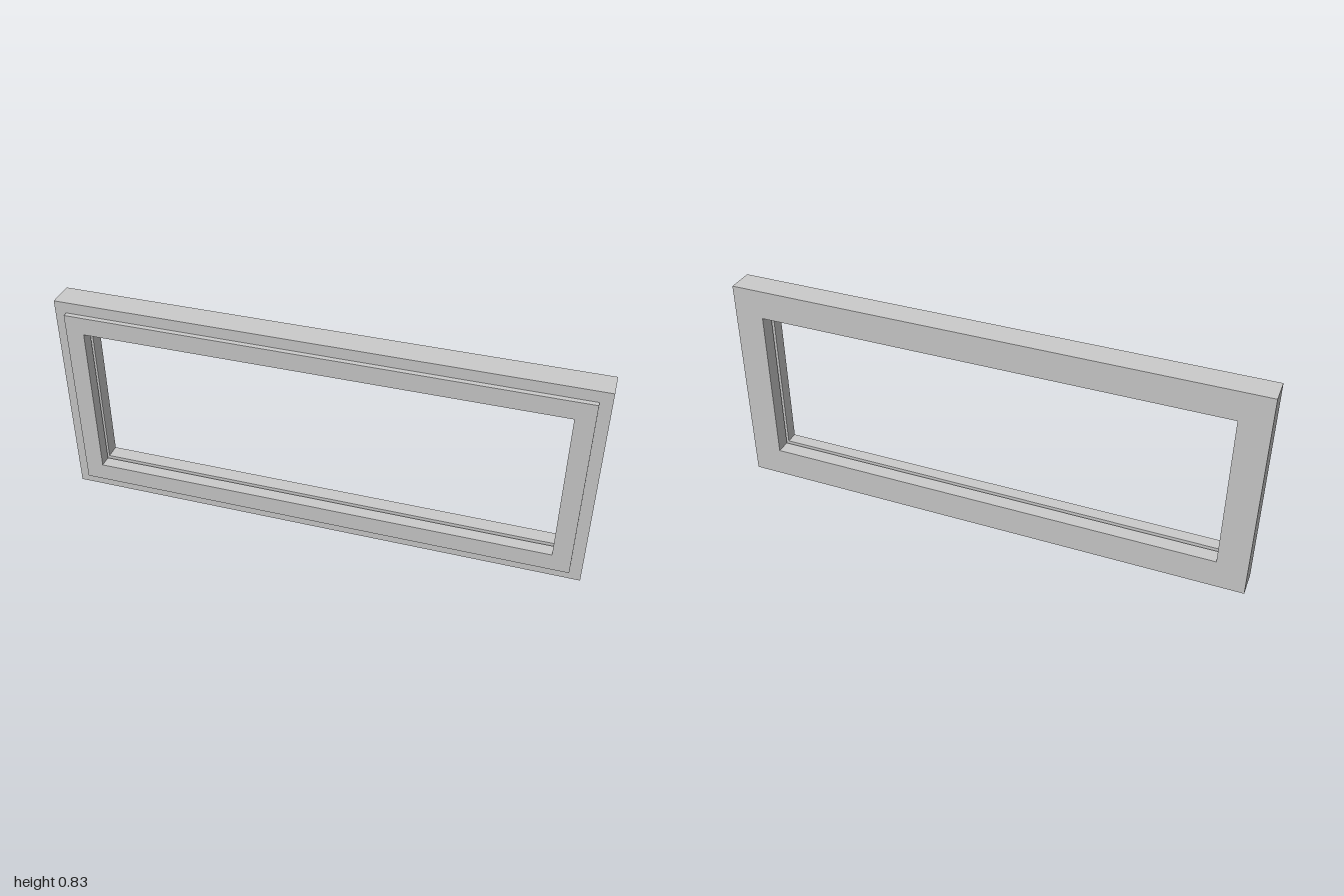
import * as THREE from 'three';

const HALF_WIDTH = 1, HEIGHT = 0.832;

// Sweeps a closed [inset, z] profile round the rectangle with mitred corners.
function sweepRectangle(profile) {
  const corners = [[1, 0], [1, 1], [-1, 1], [-1, 0]];
  const point = (k, j) => {
    const [sx, top] = corners[k % 4];
    const [inset, z] = profile[j % profile.length];
    return [sx * (HALF_WIDTH - inset), top ? HEIGHT - inset : inset, z];
  };
  const positions = [];
  for (let k = 0; k < 4; k++) {
    for (let j = 0; j < profile.length; j++) {
      const a = point(k, j), b = point(k + 1, j), c = point(k + 1, j + 1), d = point(k, j + 1);
      positions.push(...a, ...b, ...c, ...a, ...c, ...d);
    }
  }
  const geometry = new THREE.BufferGeometry();
  geometry.setAttribute('position', new THREE.Float32BufferAttribute(positions, 3));
  geometry.computeVertexNormals();
  return geometry;
}

export function createModel() {
  const group = new THREE.Group();
  group.name = 'windowFrame';

  const profile = [
    [0, -0.06], [0, 0.041],               // outer edge
    [0.043, 0.041], [0.043, 0.06],        // step up to the raised front trim
    [0.113, 0.06],                        // trim face to the opening
    [0.113, 0.012], [0.135 - 0.042, 0.012], // glazing groove cut into the opening
    [0.093, -0.003], [0.113, -0.003],
    [0.113, -0.06],                       // back of the opening
  ];
  const frame = new THREE.Mesh(
    sweepRectangle(profile),
    new THREE.MeshStandardMaterial({ color: 0xcccccc, flatShading: true })
  );
  frame.name = 'frameWithGlazingGroove';
  group.add(frame);
  return group;
}
